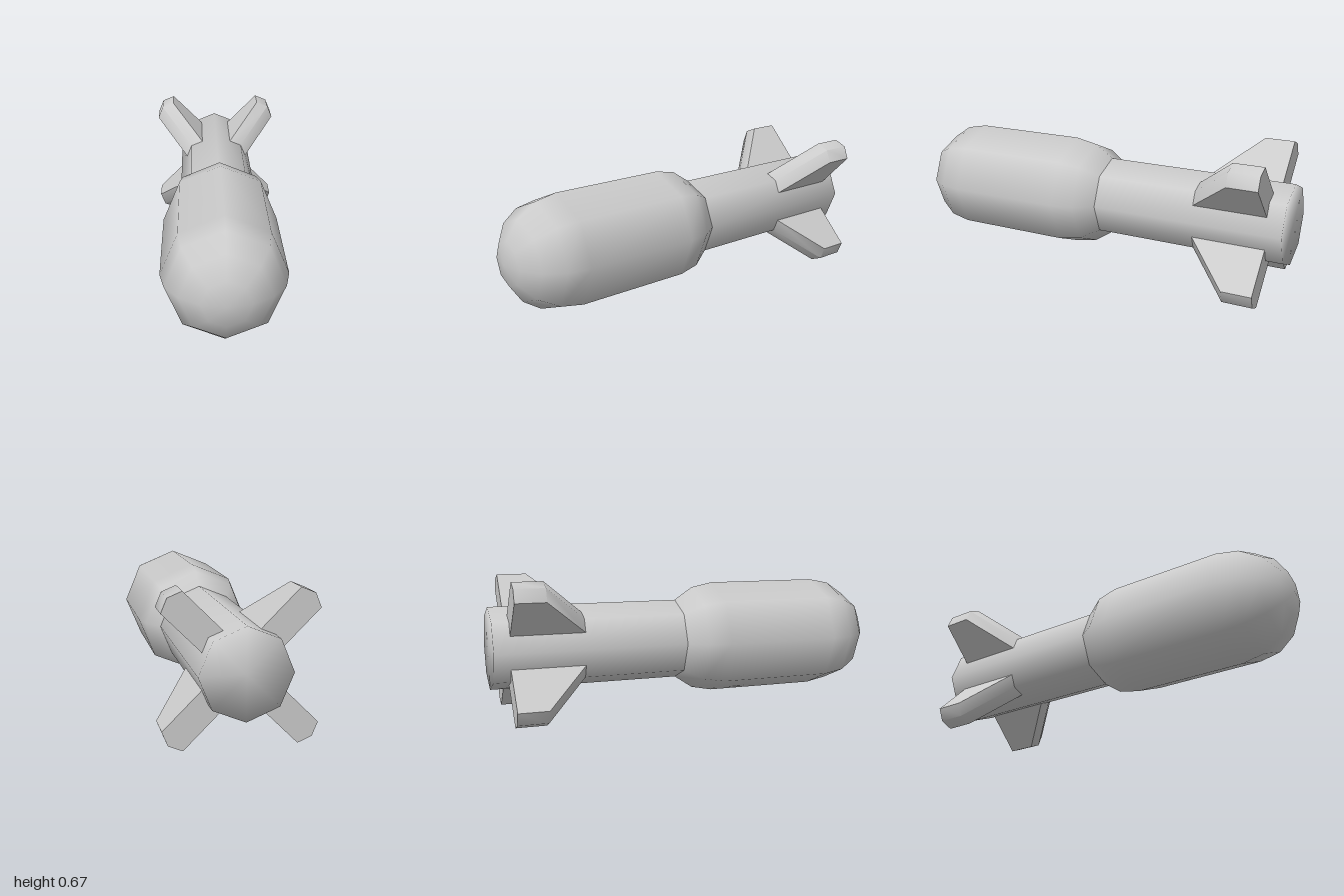
import * as THREE from 'three';
import { toCreasedNormals } from 'three/addons/utils/BufferGeometryUtils.js';

const SIDES = 8;
const AXIS_Y = 0.3375;

export function createModel() {
  const group = new THREE.Group();
  const material = new THREE.MeshStandardMaterial({ color: 0xcccccc });

  const add = (name, geometry, parent = group) => {
    const mesh = new THREE.Mesh(geometry, material);
    mesh.name = name;
    parent.add(mesh);
    return mesh;
  };

  // Rounded front body: an eight-sided capsule lying along z
  const body = new THREE.CapsuleGeometry(0.284, 0.575, 4, SIDES);
  body.rotateX(Math.PI / 2);
  body.translate(0, AXIS_Y, 0.4285);
  add('body', body);

  // Tail tube with a closed rear, shading rolled softly over the rim
  const tail = new THREE.LatheGeometry(
    [[0, -1], [0.2, -1], [0.2, -0.06], [0.2, 0.05]].map(([r, z]) => new THREE.Vector2(r, z)), SIDES);
  tail.rotateX(Math.PI / 2);
  tail.translate(0, AXIS_Y, 0);
  add('tailTube', tail);

  // Fin outline: x runs backwards along the tail, y outwards from its axis
  const outline = new THREE.Shape(
    [[0.5, 0.1], [0.92, 0.1], [0.92, 0.411], [0.775, 0.411], [0.565, 0.174]]
      .map(([x, y]) => new THREE.Vector2(x, y)));
  const thickness = 0.125;
  let fin = new THREE.ExtrudeGeometry(outline, { depth: thickness, steps: 2, bevelEnabled: false });
  fin.translate(0, 0, -thickness / 2);

  // Raise the middle layer into a ridge that follows the tube's corner
  const pos = fin.attributes.position;
  for (let i = 0; i < pos.count; i++) {
    if (Math.abs(pos.getZ(i)) < 0.01) pos.setY(i, pos.getY(i) + 0.026);
  }
  fin.rotateY(Math.PI / 2);
  fin = toCreasedNormals(fin, 0.85);

  // Four fins on the diagonals
  const fins = new THREE.Group();
  fins.name = 'fins';
  fins.position.y = AXIS_Y;
  group.add(fins);
  for (let i = 0; i < 4; i++) {
    add('fin' + (i + 1), fin, fins).rotation.z = Math.PI / 4 + i * Math.PI / 2;
  }

  return group;
}
